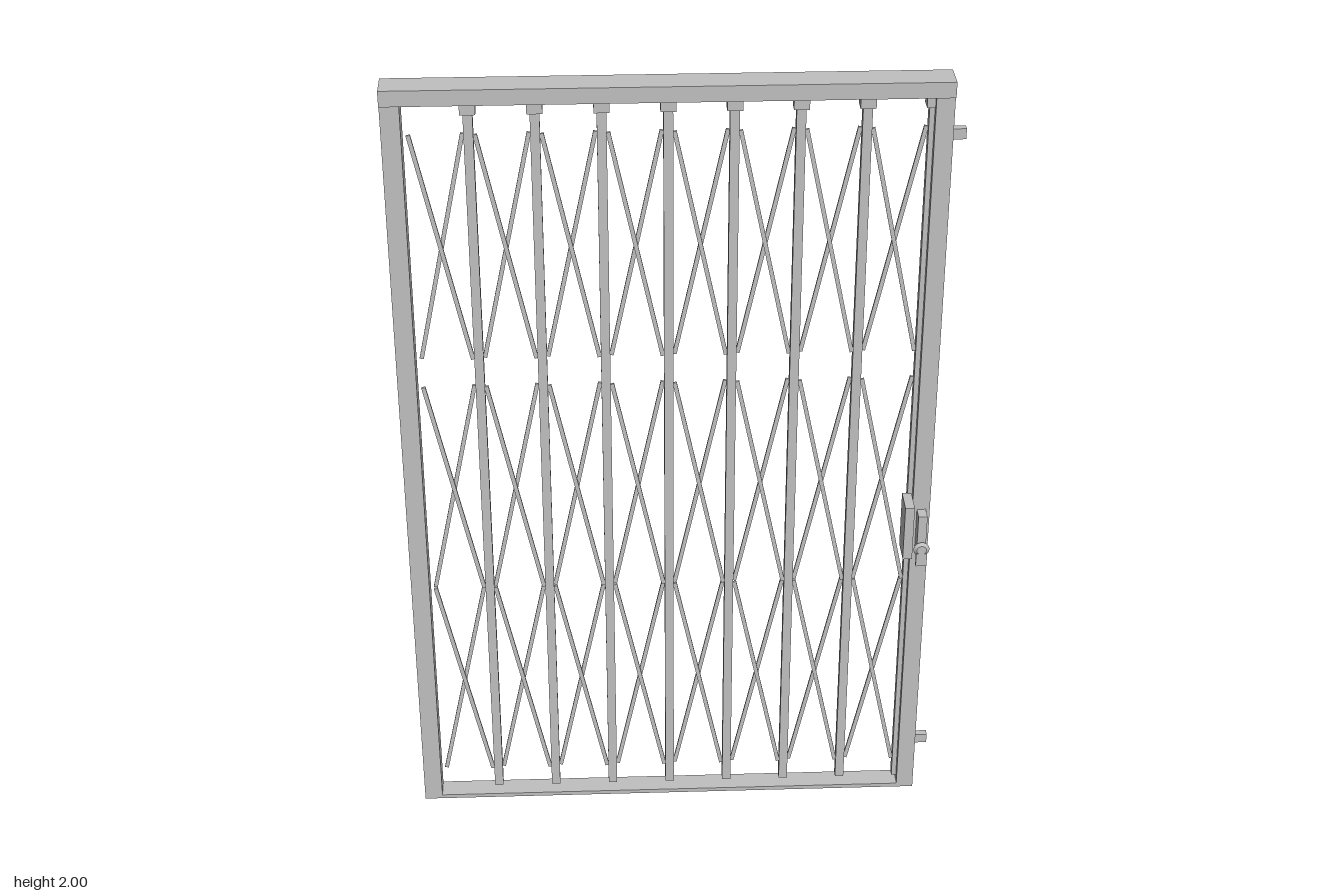
import * as THREE from 'three';

export function createModel() {
  const gate = new THREE.Group();
  gate.name = 'foldingGate';
  const steel = new THREE.MeshStandardMaterial({ color: 0xc0c0c0 });
  steel.name = 'galvanised steel';

  function add(name, geometry, x = 0, y = 0, z = 0) {
    const mesh = new THREE.Mesh(geometry, steel);
    mesh.name = name;
    mesh.position.set(x, y, z);
    gate.add(mesh);
    return mesh;
  }
  // box given by its limits on each axis
  const block = (name, x0, x1, y0, y1, z0, z1) =>
    add(name, new THREE.BoxGeometry(x1 - x0, y1 - y0, z1 - z0),
      (x0 + x1) / 2, (y0 + y1) / 2, (z0 + z1) / 2);

  // outer frame
  block('topRail', -0.665, 0.624, 1.962, 2, -0.057, 0.018);
  block('rightPost', -0.665, -0.62, 0, 1.962, -0.046, 0.01);
  block('leftPost', 0.581, 0.624, 0, 1.962, -0.046, 0.01);
  block('bottomTrack', -0.62, 0.581, 0, 0.011, -0.046, 0.01);

  // upright bars with their top rollers
  const midZ = -0.018, pitch = 0.15;
  for (let i = 0; i < 8; i++) {
    const x = -0.47 + i * pitch;
    block('uprightBar', x - 0.011, x + 0.011, 0.026, 1.935, midZ - 0.011, midZ + 0.011);
    block('barRoller', x - 0.018, x + 0.018, 1.932, 1.962, midZ - 0.018, midZ + 0.018);
  }

  // crossed lattice strips in three tiers per bay
  const tiers = [[0.08, 0.652], [0.652, 1.23], [1.305, 1.88]];
  const half = 0.061;
  for (let bay = 0; bay < 8; bay++) {
    const x = -0.545 + bay * pitch;
    for (const [low, high] of tiers) {
      for (const side of [-1, 1]) {
        const strip = add('latticeStrip',
          new THREE.BoxGeometry(0.01, Math.hypot(2 * half, high - low), 0.006),
          x, (low + high) / 2, midZ + side * 0.004);
        strip.rotation.z = side * Math.atan2(2 * half, high - low);
      }
    }
  }

  // fixing lugs behind the left post
  for (const y of [0.115, 1.847]) block('fixingLug', 0.59, 0.663, y - 0.013, y + 0.013, -0.064, -0.046);

  // lock: guard plate, body, rose and hanging handle
  block('lockGuard', 0.556, 0.579, 0.757, 0.906, -0.01, 0.061);
  block('lockBody', 0.592, 0.614, 0.757, 0.87, 0.01, 0.046);
  const rose = add('handleRose', new THREE.CylinderGeometry(0.012, 0.02, 0.006, 24), 0.603, 0.778, 0.053);
  rose.rotation.x = Math.PI / 2;
  const roseBack = add('handleRoseBack', new THREE.CylinderGeometry(0.02, 0.013, 0.005, 24), 0.603, 0.778, 0.0475);
  roseBack.rotation.x = Math.PI / 2;
  block('handleLever', 0.59, 0.617, 0.732, 0.768, 0.047, 0.056);

  return gate;
}
